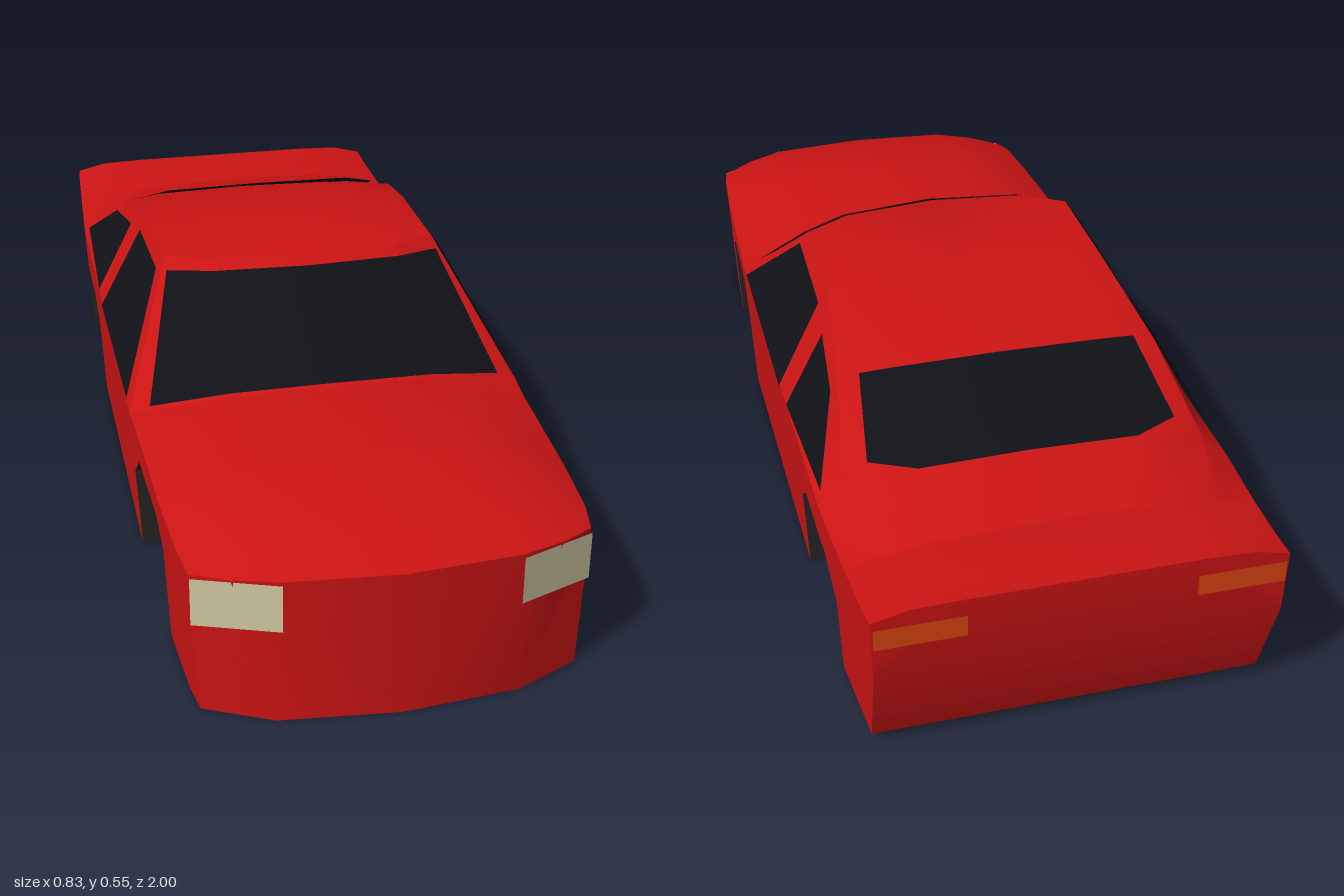
import * as THREE from 'three';
import { toCreasedNormals } from 'three/addons/utils/BufferGeometryUtils.js';

const material = (color, side = THREE.FrontSide) => new THREE.MeshStandardMaterial({ color, side });
const red = material(0xcc1414), dark = material(0x262626);
const glass = material(0x101218, THREE.DoubleSide);
const lampWhite = material(0xd2caa4, THREE.DoubleSide), lampOrange = material(0xd84410, THREE.DoubleSide);

// Collects polygons, each also mirrored to the other side of the car
class Surface {
  constructor() { this.pos = []; }
  tri(a, b, c) {
    const [A, B, C] = [a, b, c].map((p) => new THREE.Vector3(...p));
    if (B.sub(A).cross(C.sub(A)).length() < 1e-7) return;
    const m = (p) => [-p[0], p[1], p[2]];
    this.pos.push(...a, ...b, ...c, ...m(a), ...m(c), ...m(b));
  }
  poly(p) { for (let i = 1; i < p.length - 1; i++) this.tri(p[0], p[i], p[i + 1]); }
  mesh(name, mat, crease = 0.9) {
    const g = new THREE.BufferGeometry();
    g.setAttribute('position', new THREE.Float32BufferAttribute(this.pos, 3));
    const mesh = new THREE.Mesh(toCreasedNormals(g, crease), mat);
    mesh.name = name;
    return mesh;
  }
}

// Skins neighbouring sections; pick(i, j) chooses the surface for each quad
function skin(rows, pick) {
  for (let i = 0; i < rows.length - 1; i++)
    for (let j = 0; j < rows[i].length - 1; j++)
      pick(i, j).poly([rows[i][j], rows[i + 1][j], rows[i + 1][j + 1], rows[i][j + 1]]);
}

// Body shape along z: z, half width, belt, edge, mid and centre heights, floor height, nose bow
const keys = [
  [0.995, 0.375, 0.288, 0.295, 0.30, 0.30, 0, 0.115],
  [0.92, 0.385, 0.298, 0.315, 0.327, 0.333, 0, 0.09],
  [0.70, 0.395, 0.302, 0.335, 0.36, 0.37, 0, 0],
  [0.42, 0.405, 0.31, 0.332, 0.358, 0.374, 0, 0],
  [0.34, 0.41, 0.315, 0.33, 0.352, 0.362, 0, 0],
  [0.10, 0.41, 0.315, 0.315, 0.315, 0.315, 0, 0],
  [-0.60, 0.41, 0.322, 0.325, 0.325, 0.325, 0, 0],
  [-0.72, 0.405, 0.327, 0.335, 0.34, 0.34, 0, 0],
  [-0.82, 0.40, 0.33, 0.345, 0.36, 0.365, 0.012, 0],
  [-0.94, 0.394, 0.34, 0.358, 0.366, 0.368, 0.03, 0],
  [-1, 0.39, 0.35, 0.367, 0.37, 0.37, 0.22, 0],
];
// Wheel arch outlines: z, height
const arches = [
  [[0.675, 0], [0.675, 0.2], [0.62, 0.24], [0.41, 0.24], [0.34, 0.18], [0.34, 0]],
  [[-0.385, 0], [-0.385, 0.18], [-0.45, 0.23], [-0.64, 0.23], [-0.72, 0.165], [-0.72, 0]],
];

function shapeAt(z) {
  let i = 0;
  while (i < keys.length - 2 && z < keys[i + 1][0]) i++;
  const t = (keys[i][0] - z) / (keys[i][0] - keys[i + 1][0]);
  return keys[i].map((v, k) => v + (keys[i + 1][k] - v) * t);
}

// Half section from the floor centre, through the wheel well and side, to the top centre
function section([z, h]) {
  const [, w, belt, edge, mid, centre, floor, bow] = shapeAt(z);
  const low = Math.max(floor, h);
  return [[0, floor], [0.23, floor], [0.23, low], [w - 0.015 + low * 0.05, low], [w - 0.003, 0.25],
    [w, belt], [w - 0.07, edge], [0.22, mid], [0, centre]]
    .map(([x, y]) => [x, y, z - bow * (x / 0.4) ** 3]);
}

function lowerBody() {
  const inArch = (z) => arches.some((a) => z < a[0][0] + 1e-6 && z > a[5][0] - 1e-6);
  const plain = keys.filter((k) => !inArch(k[0])).map((k) => [k[0], 0]);
  // the belt section within the front arch is kept too
  const stations = [...plain, ...arches[0], ...arches[1], [0.42, 0.24], [-0.6, 0.23]].sort((a, b) => b[0] - a[0]);
  const rows = stations.map(section);
  const body = new Surface(), wells = new Surface();
  skin(rows, (i, j) => ((j === 1 || j === 2) && (stations[i][1] > 0 || stations[i + 1][1] > 0) ? wells : body));
  // nose and tail panels
  const cap = (s) => [[s[0], s[1], s[7], s[8]], [s[1], s[3], s[4], s[5], s[6], s[7]]];
  cap(rows[0]).forEach((p) => body.poly(p));
  cap(rows[rows.length - 1]).forEach((p) => body.poly(p.reverse()));
  return [body.mesh('lowerBody', red), wells.mesh('wheelWells', dark, 0.5)];
}

// Cabin sections from belt to roof centre
const cabinRows = [
  [[0.41, 0.315, 0.335], [0.385, 0.32, 0.345], [0.21, 0.36, 0.395], [0, 0.375, 0.42]],
  [[0.41, 0.315, 0.07], [0.295, 0.54, 0.07], [0.2, 0.545, 0.115], [0, 0.548, 0.135]],
  [[0.41, 0.315, -0.18], [0.297, 0.535, -0.18], [0.2, 0.544, -0.18], [0, 0.547, -0.18]],
  [[0.41, 0.32, -0.43], [0.33, 0.47, -0.43], [0.22, 0.486, -0.43], [0, 0.49, -0.43]],
  [[0.409, 0.325, -0.655], [0.36, 0.37, -0.63], [0.22, 0.395, -0.655], [0, 0.40, -0.655]],
  [[0.40, 0.33, -0.82], [0.33, 0.345, -0.82], [0.22, 0.36, -0.82], [0, 0.365, -0.82]],
];

function cabin() {
  const s = new Surface();
  skin(cabinRows, () => s);
  return s.mesh('cabin', red, 0.6);
}

// Thin panel between two matching rows of points
function panel(name, mat, rowA, rowB) {
  const s = new Surface();
  skin([rowA, rowB], () => s);
  return s.mesh(name, mat);
}

const mix = (a, b, t) => a.map((v, k) => v + (b[k] - v) * t);

function windscreen() {
  const [r0, r1] = cabinRows;
  const row = (t) => [1, 2, 3].map((j) => {
    const p = mix(r0[j], r1[j], t);
    const q = j === 1 ? mix(p, mix(r0[2], r1[2], t), 0.08) : p;
    return [q[0], q[1] + 0.004, q[2] + 0.004];
  });
  return panel('windscreen', glass, row(0.02), row(0.9));
}

// Side glass lies just outside the sloping cabin side
function sideWindow(name, outline) {
  const s = new Surface();
  s.poly(outline.map(([z, y]) => [0.416 - 0.511 * (y - 0.315), y, z]));
  return s.mesh(name, glass);
}

export function createModel() {
  const car = new THREE.Group();
  car.name = 'car';
  car.add(...lowerBody(), cabin(), windscreen());
  car.add(panel('rearWindow', glass,
    [[0.285, 0.484, -0.425], [0.22, 0.493, -0.435], [0, 0.496, -0.435]],
    [[0.31, 0.403, -0.61], [0.22, 0.402, -0.652], [0, 0.407, -0.652]]));
  car.add(sideWindow('frontSideWindows', [[0.29, 0.325], [-0.185, 0.32], [-0.175, 0.505], [0.07, 0.515]]));
  car.add(sideWindow('rearSideWindows', [[-0.265, 0.325], [-0.6, 0.345], [-0.43, 0.455], [-0.265, 0.485]]));
  car.add(panel('headlights', lampWhite,
    [[0.374, 0.187, 0.911], [0.22, 0.2, 0.984]], [[0.374, 0.285, 0.911], [0.22, 0.297, 0.984]]));
  car.add(panel('tailLights', lampOrange,
    [[0.215, 0.29, -1.003], [0.385, 0.29, -1.003]], [[0.215, 0.335, -1.003], [0.385, 0.335, -1.003]]));
  return car;
}
